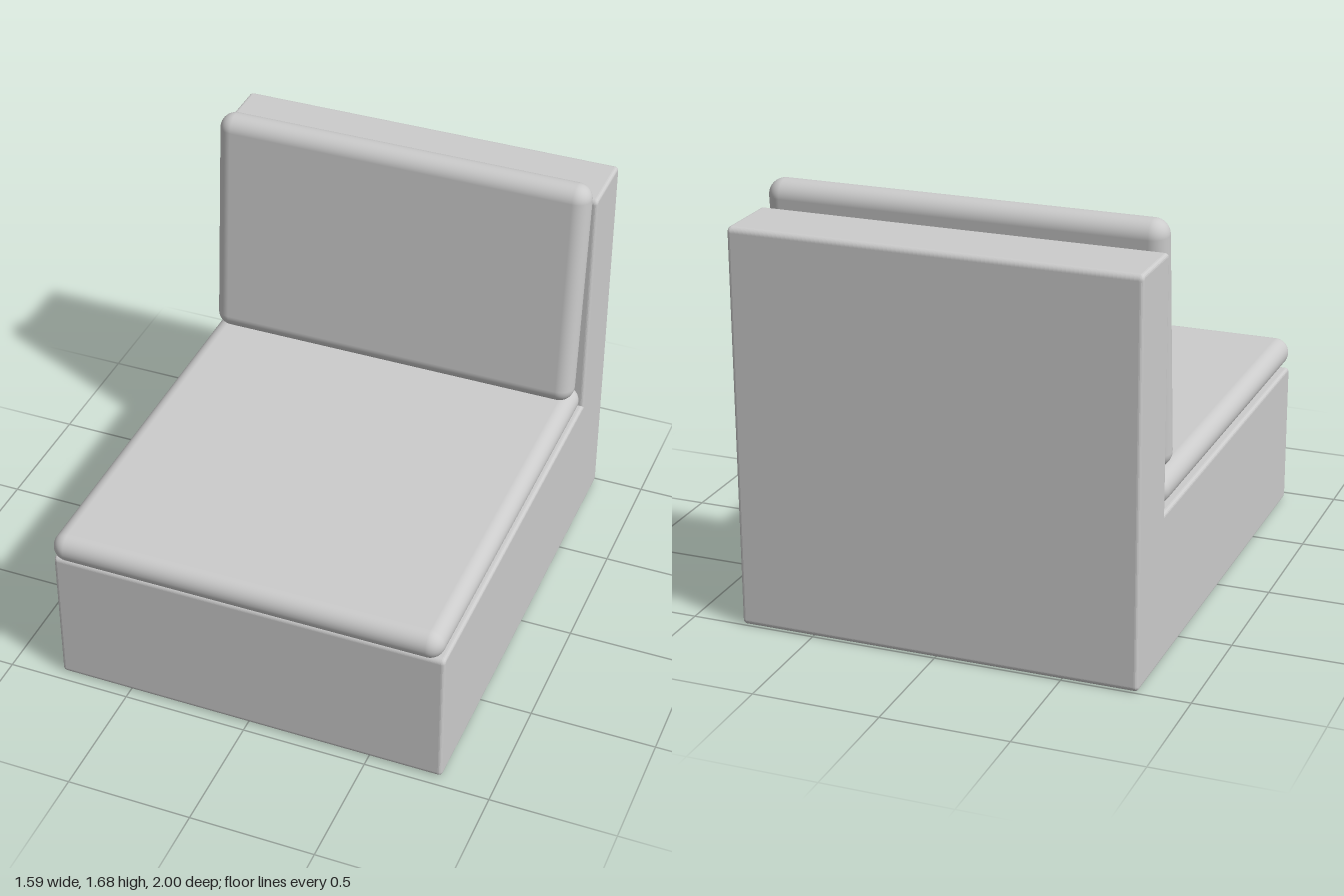
import * as THREE from 'three';
import { RoundedBoxGeometry } from 'three/addons/geometries/RoundedBoxGeometry.js';

const material = new THREE.MeshStandardMaterial({ color: 0xcccccc });

function addPart(group, name, geometry, x, y, z) {
  const mesh = new THREE.Mesh(geometry, material);
  mesh.name = name;
  mesh.position.set(x, y, z);
  group.add(mesh);
  return mesh;
}

// L-shaped side profile (z, y) with softly rounded outer corners
function frameProfile() {
  const front = 0.96, back = -1, seat = 0.59, top = 1.585, inner = -0.71, r = 0.022;
  const s = new THREE.Shape();
  s.moveTo(back + r, 0);
  s.absarc(front - r, r, r, -Math.PI / 2, 0);
  s.absarc(front - r, seat - r, r, 0, Math.PI / 2);
  s.lineTo(inner, seat);
  s.absarc(inner - r, top - r, r, 0, Math.PI / 2);
  s.absarc(back + r, top - r, r, Math.PI / 2, Math.PI);
  s.absarc(back + r, r, r, Math.PI, Math.PI * 1.5);
  return s;
}

export function createModel() {
  const model = new THREE.Group();
  model.name = 'armlessSofaSeat';

  // One-piece base and backrest, extruded across the width
  const width = 1.59, bevel = 0.014;
  const frame = new THREE.ExtrudeGeometry(frameProfile(), {
    depth: width - 2 * bevel, curveSegments: 5,
    bevelThickness: bevel, bevelSize: bevel, bevelOffset: -bevel, bevelSegments: 4,
  });
  frame.translate(0, 0, bevel - width / 2);
  frame.rotateY(-Math.PI / 2);
  addPart(model, 'frame', frame, 0, 0, 0);

  // Seat cushion with fully rounded edges
  addPart(model, 'seatCushion', new RoundedBoxGeometry(1.58, 0.119, 1.7, 8, 0.059), 0, 0.653, 0.15);

  // Back cushion leaning on the backrest
  const back = addPart(model, 'backCushion',
    new RoundedBoxGeometry(1.562, 0.973, 0.125, 8, 0.062), 0.008, 1.198, -0.611);
  back.rotation.x = -0.085;

  return model;
}
